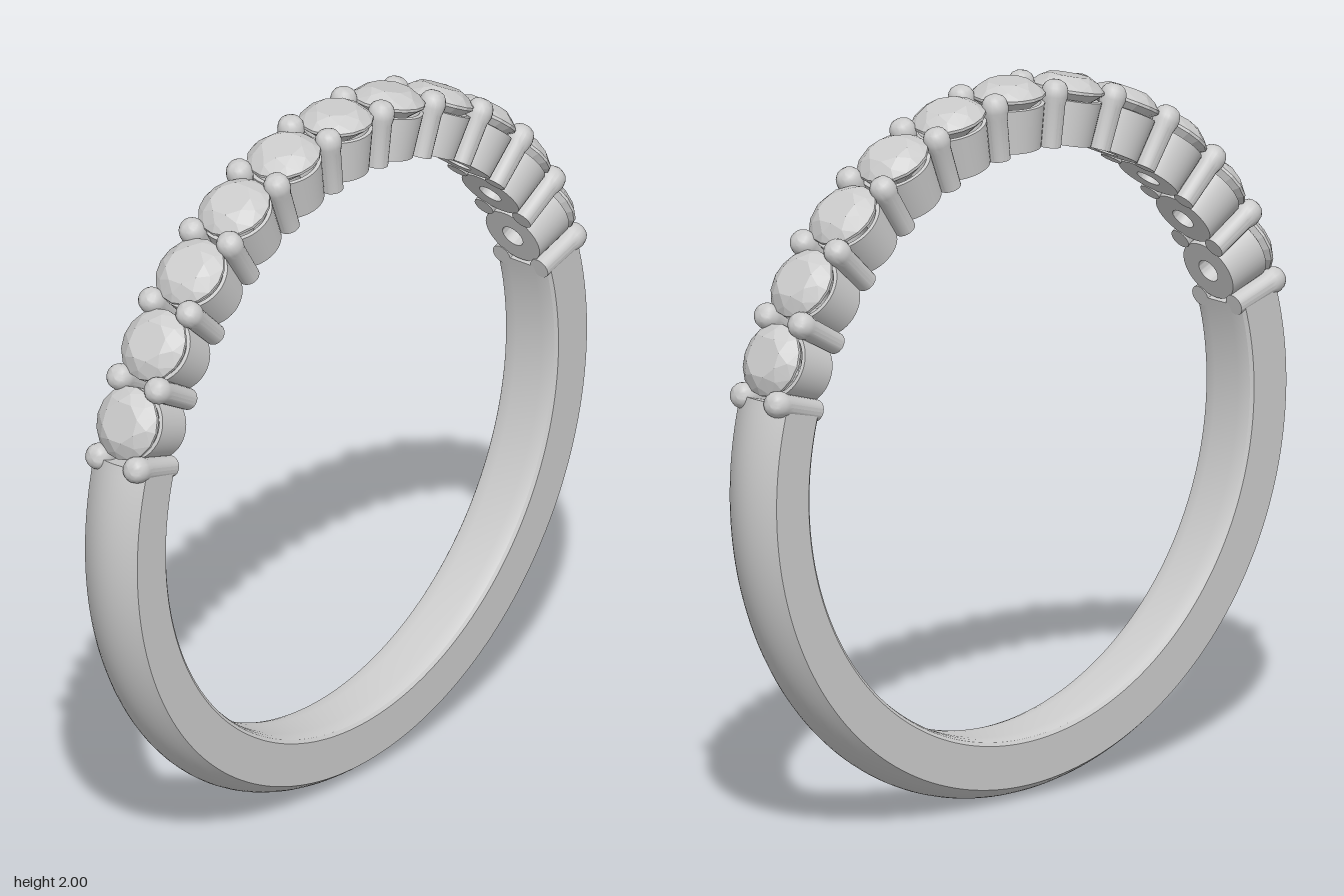
import * as THREE from 'three';
import { toCreasedNormals } from 'three/addons/utils/BufferGeometryUtils.js';
import { ConvexGeometry } from 'three/addons/geometries/ConvexGeometry.js';

const STONES = 11;
const STEP = THREE.MathUtils.degToRad(13.3);
const END = STEP * STONES / 2; // where the plain shank begins, from the top
const INNER = 0.82;
const CENTRE = 0.995;

const metal = new THREE.MeshStandardMaterial({ color: 0xcccccc });
const thin = new THREE.MeshStandardMaterial({ color: 0xcccccc, side: THREE.DoubleSide });
const gem = new THREE.MeshStandardMaterial({ color: 0xcccccc, flatShading: true });

function part(name, geometry, material = metal) {
  const mesh = new THREE.Mesh(geometry, material);
  mesh.name = name;
  return mesh;
}

const lathe = (points, segments) => toCreasedNormals(
  new THREE.LatheGeometry(points.map(([r, h]) => new THREE.Vector2(r, h)), segments), 0.6);

// Shank section as [radius, width]: domed outside, flat sides, softened inside
function shankProfile() {
  const points = [[0.836, -0.092], [0.957, -0.092]];
  for (let i = 1; i < 12; i++) {
    const t = -1 + i / 6;
    points.push([0.957 + 0.038 * (1 - t * t), 0.092 * t]);
  }
  points.push([0.957, 0.092], [0.836, 0.092], [0.827, 0.085], [0.822, 0.07],
    [INNER, 0.045], [INNER, -0.045], [0.822, -0.07], [0.827, -0.085], [0.836, -0.092]);
  return points.map(([r, w]) => new THREE.Vector2(r, w));
}

function createShank() {
  const shank = new THREE.Group();
  shank.name = 'shank';
  const profile = shankProfile();
  const band = new THREE.LatheGeometry(profile, 120, END, 2 * Math.PI - 2 * END);
  band.rotateX(-Math.PI / 2);
  // The band narrows a little towards the bottom
  const p = band.attributes.position;
  for (let i = 0; i < p.count; i++) p.setZ(i, p.getZ(i) * (1 + 0.04 * p.getY(i)));
  shank.add(part('band', toCreasedNormals(band, 0.4)));
  for (const side of [-1, 1]) {
    const cap = new THREE.ShapeGeometry(new THREE.Shape(profile));
    cap.rotateX(Math.PI / 2).rotateZ(Math.PI / 2 - side * END);
    shank.add(part('bandEnd', cap, thin));
  }
  return shank;
}

// Brilliant-cut stone with its girdle at height 0
function stoneGeometry() {
  const points = [new THREE.Vector3(0, -0.085, 0)];
  const ring = (count, radius, height, turn = 0) => {
    for (let i = 0; i < count; i++) {
      const a = (i + turn) / count * 2 * Math.PI;
      points.push(new THREE.Vector3(radius * Math.sin(a), height, radius * Math.cos(a)));
    }
  };
  ring(8, 0.058, 0.038, 0.5);
  ring(8, 0.082, 0.024);
  ring(16, 0.102, 0.004);
  ring(16, 0.102, -0.004);
  return new ConvexGeometry(points);
}

export function createModel() {
  const ring = new THREE.Group();
  ring.name = 'ring';
  const body = new THREE.Group();
  body.name = 'ringBody';
  body.position.y = CENTRE;
  ring.add(body);
  body.add(createShank());

  // Open cup under each stone, with a small hole through to the finger side
  const cup = lathe([[0.034, INNER], [0.09, INNER], [0.094, 0.87], [0.1, 0.943],
    [0.09, 0.945], [0.034, 0.885], [0.034, INNER]], 40);
  const stone = stoneGeometry();
  // Prong: a slim post with a rounded bead on top
  const prong = lathe([[0, INNER], [0.03, INNER], [0.032, 0.94], [0.037, 0.96],
    [0.037, 0.972], [0.034, 0.986], [0.027, 0.997], [0.015, 1.004], [0, 1.006]], 20);

  for (let i = 0; i < STONES; i++) {
    const setting = new THREE.Group();
    setting.name = 'setting';
    setting.rotation.z = -(i - (STONES - 1) / 2) * STEP;
    const jewel = part('stone', stone, gem);
    jewel.position.y = 0.967;
    setting.add(part('cup', cup), jewel);
    body.add(setting);
  }

  for (let i = 0; i <= STONES; i++) {
    const pair = new THREE.Group();
    pair.name = 'prongPair';
    pair.rotation.z = -(i - STONES / 2) * STEP;
    for (const side of [-1, 1]) {
      const post = part('prong', prong);
      post.position.z = side * 0.066;
      pair.add(post);
    }
    body.add(pair);
  }
  return ring;
}
